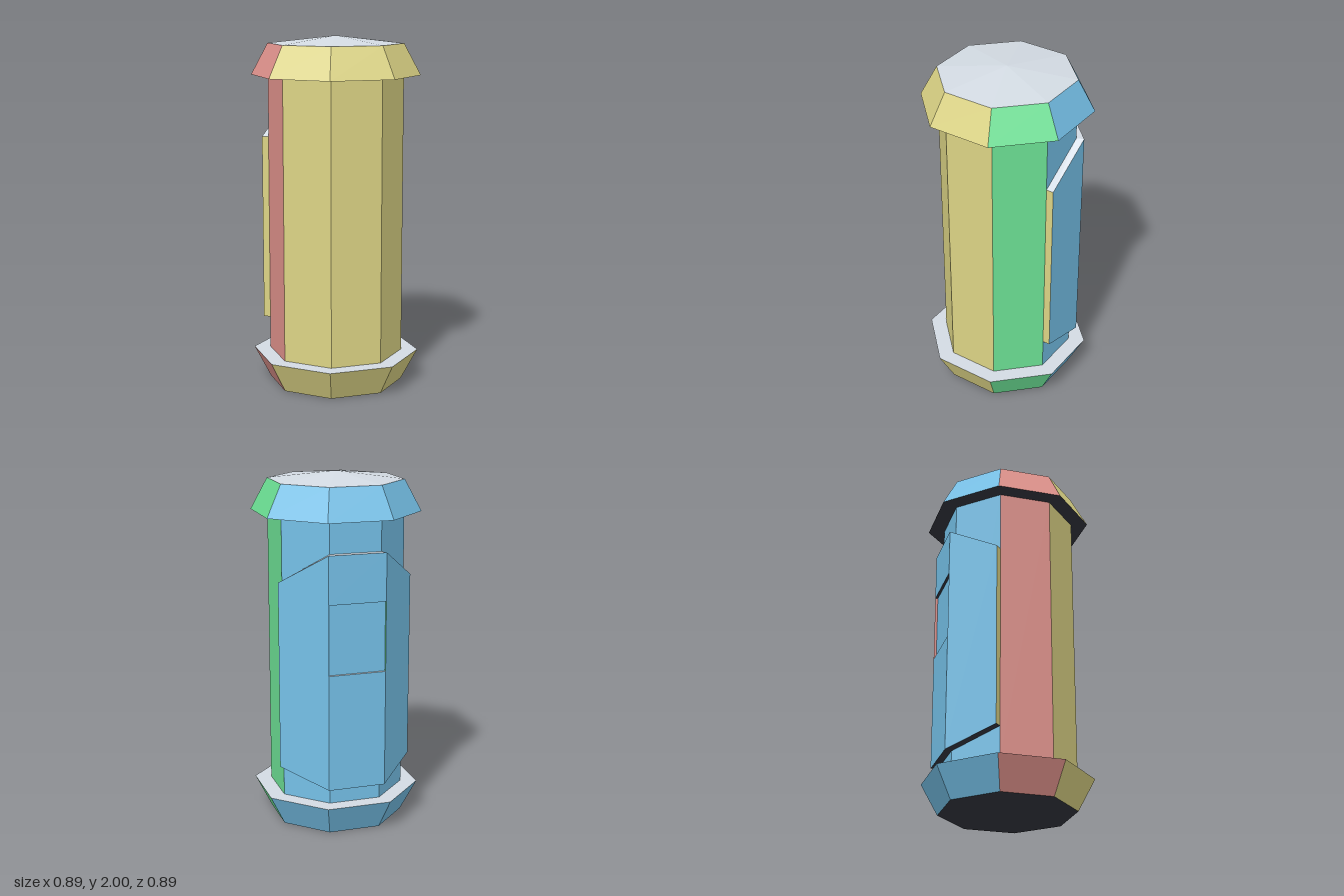
import * as THREE from 'three';

const mat = (name, color) => Object.assign(new THREE.MeshStandardMaterial({ color }), { name });

// Material slots, chosen by the way a face points
const TOP = 0, BOTTOM = 1, LEFT = 2, RIGHT = 3, FRONT = 4, BACK = 5;
function slotFor(n) {
  if (Math.abs(n.y) > 0.7) return n.y > 0 ? TOP : BOTTOM;
  if (Math.abs(n.x) > 2 * Math.abs(n.z)) return n.x > 0 ? LEFT : RIGHT;
  return n.z > 0 ? FRONT : BACK;
}

// Flat polygons (corners counter-clockwise from outside) into one grouped mesh
function facets(name, polygons, materials) {
  const slots = materials.map(() => []);
  for (const p of polygons) {
    for (let i = 1; i < p.length - 1; i++) {
      const tri = [p[0], p[i], p[i + 1]];
      const normal = new THREE.Triangle(...tri).getNormal(new THREE.Vector3());
      slots[slotFor(normal)].push(...tri);
    }
  }
  const geometry = new THREE.BufferGeometry().setFromPoints(slots.flat());
  let start = 0;
  slots.forEach((points, slot) => {
    if (points.length) geometry.addGroup(start, points.length, slot);
    start += points.length;
  });
  geometry.computeVertexNormals();
  const mesh = new THREE.Mesh(geometry, materials);
  mesh.name = name;
  return mesh;
}

const v = (x, y, z) => new THREE.Vector3(x, y, z);

// Regular octagon with flat sides facing the axes
function octagon(apothem, y) {
  const r = apothem / Math.cos(Math.PI / 8);
  return Array.from({ length: 8 }, (_, i) => {
    const a = (i + 0.5) * Math.PI / 4;
    return v(r * Math.sin(a), y, r * Math.cos(a));
  });
}
const walls = (lo, hi) => lo.map((p, i) => {
  const j = (i + 1) % lo.length;
  return [p, lo[j], hi[j], hi[i]];
});
const reversed = (p) => [...p].reverse();

// Plate wrapped round the three back sides, with a shallow window in its back
function backPanel(materials) {
  const inner = [[0.355, -0.147], [0.147, -0.355], [-0.147, -0.355], [-0.355, -0.147]];
  const outer = [[0.385, -0.177], [0.164, -0.395], [-0.164, -0.395], [-0.385, -0.177]];
  const low = [0.36, 0.27, 0.27, 0.36], high = [1.425, 1.6, 1.6, 1.425];
  const column = (pts, ys) => pts.map(([x, z], i) => v(x, ys[i], z));
  const iLo = column(inner, low), iHi = column(inner, high);
  const oLo = column(outer, low), oHi = column(outer, high);
  const polys = [];
  for (let i = 0; i < 3; i++) {
    const j = i + 1;
    if (i !== 1) polys.push([oLo[i], oLo[j], oHi[j], oHi[i]]);
    polys.push([oHi[i], oHi[j], iHi[j], iHi[i]]); // upper rim
    polys.push([iLo[i], iLo[j], oLo[j], oLo[i]]); // lower rim
  }
  // front-facing end edges
  polys.push([iLo[0], oLo[0], oHi[0], iHi[0]], [oLo[3], iLo[3], iHi[3], oHi[3]]);

  // recessed window
  const rect = (z) => [v(0.164, 0.935, z), v(-0.164, 0.935, z), v(-0.164, 1.33, z), v(0.164, 1.33, z)];
  const rim = rect(-0.395), floor = rect(-0.38);
  polys.push([oLo[1], oLo[2], rim[1], rim[0]], [rim[3], rim[2], oHi[2], oHi[1]], floor);
  for (let i = 0; i < 4; i++) {
    const j = (i + 1) % 4;
    polys.push([rim[i], rim[j], floor[j], floor[i]]);
  }
  return facets('backPanel', polys, materials);
}

export function createModel() {
  const materials = [
    mat('lightGrey', 0xd3dbe3), mat('darkGrey', 0x34363f), mat('green', 0x6ce094),
    mat('red', 0xde918b), mat('yellow', 0xdcd485), mat('blue', 0x78c5ed),
  ];
  const group = new THREE.Group();
  group.name = 'octagonalCanister';

  // Flared foot
  const footLo = octagon(0.355, 0), footHi = octagon(0.443, 0.178);
  group.add(facets('foot', [...walls(footLo, footHi), footHi, reversed(footLo)], materials));

  // Straight body
  group.add(facets('body', walls(octagon(0.355, 0.178), octagon(0.355, 1.78)), materials));

  // Tapered cap with a low pyramid roof
  const capLo = octagon(0.443, 1.78), capHi = octagon(0.355, 1.957);
  const apex = v(0, 2, 0);
  const roof = capHi.map((p, i) => [p, capHi[(i + 1) % 8], apex]);
  group.add(facets('cap', [...walls(capLo, capHi), ...roof, reversed(capLo)], materials));

  group.add(backPanel(materials));
  return group;
}
